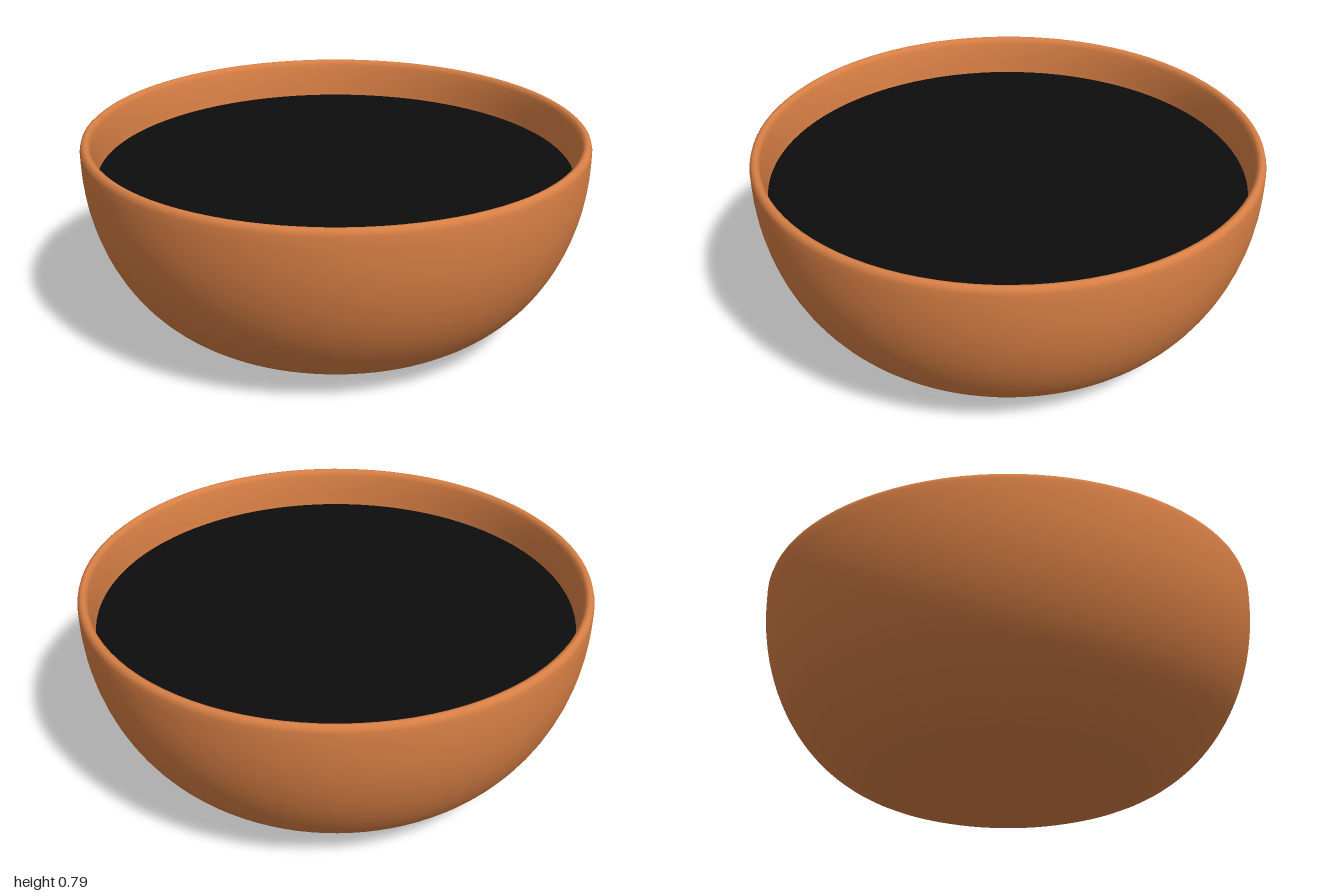
import * as THREE from 'three';

const SEGMENTS = 96;

// Quarter-ellipse wall from the flat base up to the vertical side
function wall(flat, rx, y0, ry, steps, endAngle = Math.PI / 2) {
  const points = [];
  for (let i = 0; i <= steps; i++) {
    const a = (i / steps) * endAngle;
    points.push(new THREE.Vector2(flat + rx * Math.sin(a), y0 + ry * (1 - Math.cos(a))));
  }
  return points;
}

export function createModel() {
  const group = new THREE.Group();
  group.name = 'bowlOfLiquid';

  // Bowl: outer wall, rounded rim and inner wall in one closed profile
  const outer = wall(0.45, 0.55, 0, 0.72, 20);
  const rim = [[1, 0.765], [0.995, 0.782], [0.985, 0.79], [0.975, 0.79], [0.965, 0.783], [0.96, 0.768]]
    .map(([r, y]) => new THREE.Vector2(r, y));
  const inner = wall(0.43, 0.52, 0.05, 0.66, 20).reverse();
  const profile = [new THREE.Vector2(0, 0), ...outer, ...rim, ...inner, new THREE.Vector2(0, 0.05)];
  const bowl = new THREE.Mesh(
    new THREE.LatheGeometry(profile, SEGMENTS),
    new THREE.MeshStandardMaterial({ color: 0xd98045 })
  );
  bowl.name = 'bowl';
  group.add(bowl);

  // Liquid: flat dark surface a little below the rim
  const liquid = new THREE.Mesh(
    new THREE.CircleGeometry(0.945, SEGMENTS).rotateX(-Math.PI / 2),
    new THREE.MeshStandardMaterial({ color: 0x0d0d0d })
  );
  liquid.name = 'liquidSurface';
  liquid.position.y = 0.63;
  group.add(liquid);

  return group;
}
